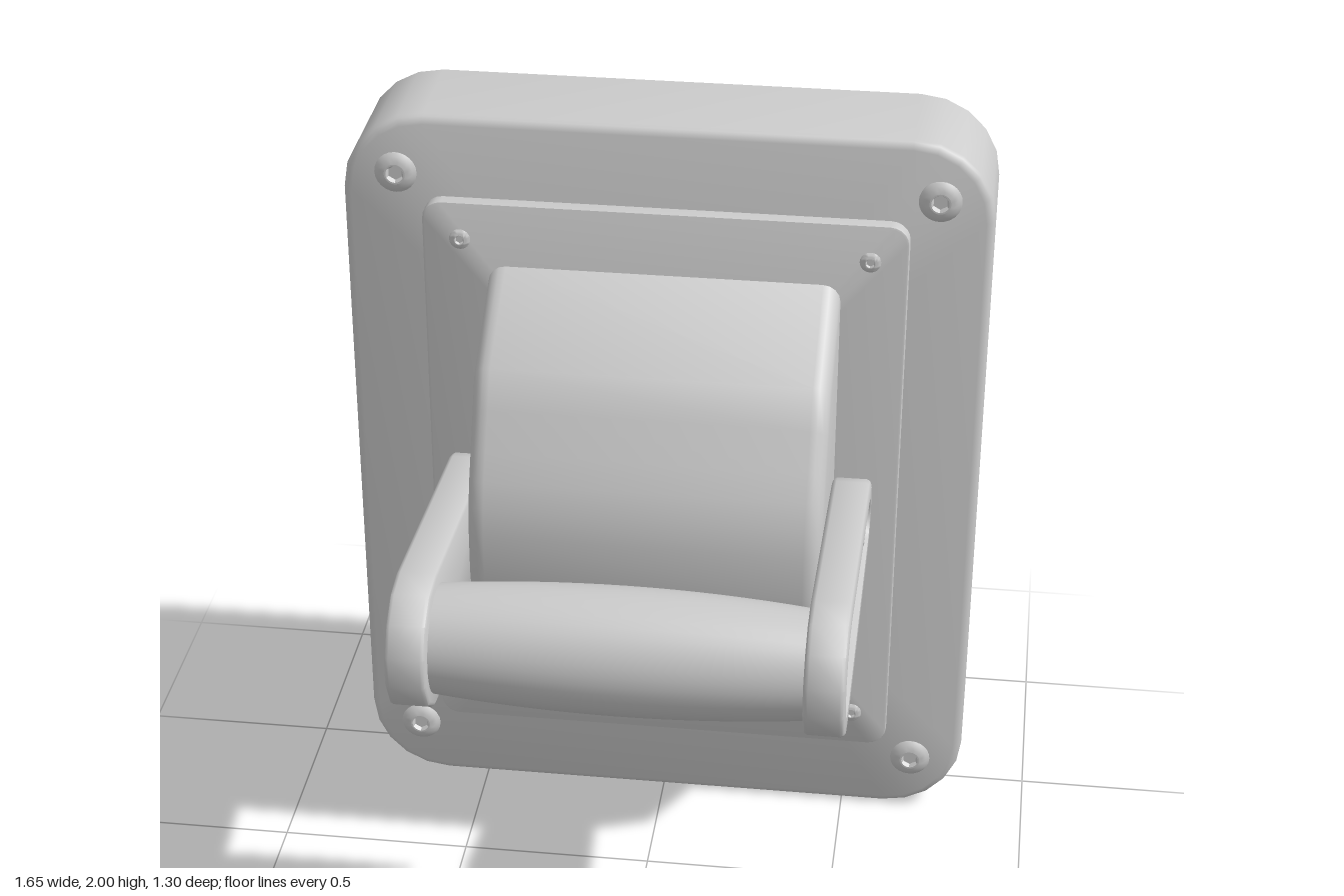
import * as THREE from 'three';
import { toCreasedNormals } from 'three/addons/utils/BufferGeometryUtils.js';

const MID = 1.003; // height of the model's horizontal mid line

const grey = new THREE.MeshStandardMaterial({ color: 0xcccccc });
const greyDouble = new THREE.MeshStandardMaterial({ color: 0xcccccc, side: THREE.DoubleSide });

function add(parent, name, geometry, material = grey) {
  const mesh = new THREE.Mesh(geometry, material);
  mesh.name = name;
  parent.add(mesh);
  return mesh;
}

// Skins rings { w, pts } along +z; pts are counter-clockwise [u, v] pairs.
function loft(rings, { start = true, end = true, crease = 0.7 } = {}) {
  const pos = [];
  const put = (ring, i) => {
    const p = ring.pts[i % ring.pts.length];
    pos.push(p[0], p[1], ring.w);
  };
  for (let r = 0; r < rings.length - 1; r++) {
    const a = rings[r], b = rings[r + 1];
    for (let i = 0; i < a.pts.length; i++) {
      put(a, i); put(a, i + 1); put(b, i + 1);
      put(a, i); put(b, i + 1); put(b, i);
    }
  }
  const cap = (ring, flip) => {
    const n = ring.pts.length;
    const cu = ring.pts.reduce((s, p) => s + p[0], 0) / n;
    const cv = ring.pts.reduce((s, p) => s + p[1], 0) / n;
    for (let i = 0; i < n; i++) {
      pos.push(cu, cv, ring.w);
      put(ring, flip ? i + 1 : i);
      put(ring, flip ? i : i + 1);
    }
  };
  if (start) cap(rings[0], true);
  if (end) cap(rings[rings.length - 1], false);
  const g = new THREE.BufferGeometry();
  g.setAttribute('position', new THREE.Float32BufferAttribute(pos, 3));
  return toCreasedNormals(g, crease);
}

// Rounded rectangle with half sizes a, b and corner radius r, shrunk by d
function roundedRect(a, b, r, d, segs = 5) {
  const pts = [];
  [[1, 1], [-1, 1], [-1, -1], [1, -1]].forEach(([sx, sy], q) => {
    for (let i = 0; i <= segs; i++) {
      const t = (q + i / segs) * Math.PI / 2;
      pts.push([sx * (a - r) + (r - d) * Math.cos(t), sy * (b - r) + (r - d) * Math.sin(t)]);
    }
  });
  return pts;
}

// Tapered capsule between two circles, shrunk by d
function taperedCapsule(uL, rL, uR, rR, d, segs = 7) {
  const alpha = Math.PI / 2 + Math.asin((rR - rL) / (uR - uL));
  const pts = [];
  for (let i = 0; i <= segs; i++) {
    const t = -alpha + 2 * alpha * i / segs;
    pts.push([uR + (rR - d) * Math.cos(t), (rR - d) * Math.sin(t)]);
  }
  for (let i = 0; i <= segs; i++) {
    const t = alpha + (2 * Math.PI - 2 * alpha) * i / segs;
    pts.push([uL + (rL - d) * Math.cos(t), (rL - d) * Math.sin(t)]);
  }
  return pts;
}

// Button-head screw with a hexagonal socket, pointing along +z
function screw(name, r, h) {
  const group = new THREE.Group();
  group.name = name;
  const lathe = (pts, segs) => toCreasedNormals(
    new THREE.LatheGeometry(pts.map(p => new THREE.Vector2(p[0] * r, p[1] * h)), segs).rotateX(Math.PI / 2), 0.6);
  add(group, name + 'Head', lathe([[0, -0.2], [1, -0.2], [1, 0.15], [0.85, 0.6], [0.65, 0.9], [0.5, 1]], 24));
  add(group, name + 'Rim', lathe([[0.5, 1], [0.42, 1]], 24));
  add(group, name + 'Socket', lathe([[0.48, 1], [0.36, 0.3], [0, 0.3]], 6));
  return group;
}

// Side arm with a recessed outer face; s = +1 for left, -1 for right
function arm(s) {
  const group = new THREE.Group();
  group.name = s > 0 ? 'leftArm' : 'rightArm';
  const outline = d => s > 0
    ? taperedCapsule(-0.48, 0.173, 0.2, 0.107, d)
    : taperedCapsule(-0.2, 0.107, 0.48, 0.173, d);
  const section = [[0.45, 0.012], [0.454, 0.004], [0.462, 0], [0.538, 0], [0.546, 0.004],
    [0.55, 0.012], [0.55, 0.05], [0.525, 0.056], [0.52, 0.07]];
  add(group, 'armBody', loft(section.map(([w, d]) => ({ w, pts: outline(d) }))));
  // Pivot pin in the recess
  const pin = [[0.045, 0.515], [0.045, 0.535], [0.038, 0.543], [0.03, 0.543], [0.03, 0.538], [0, 0.538]];
  const pinGeo = new THREE.LatheGeometry(pin.map(p => new THREE.Vector2(...p)), 20).rotateX(Math.PI / 2);
  add(group, 'pivotPin', toCreasedNormals(pinGeo, 0.6)).position.x = s * 0.15;
  group.rotation.y = s * Math.PI / 2;
  group.position.y = MID;
  return group;
}

// Bulging cover: side profile in (-z, y), with its side edges rounded off
function coverGeometry() {
  const half = [[0.32, 0.615], [0.06, 0.456], [0.01, 0.36], [-0.037, 0.268], [-0.07, 0.2], [-0.092, 0.135], [-0.104, 0.06]];
  const profile = [...half, ...half.slice().reverse().map(([u, v]) => [u, -v])];
  const inset = d => profile.map(([u, v]) => {
    const k = 1 - d / Math.hypot(u - 0.32, v);
    return [0.32 + (u - 0.32) * k, v * k];
  });
  const r = 0.045, n = 4, rings = [];
  for (let i = 0; i <= n; i++) {
    const t = i / n * Math.PI / 2;
    rings.push({ w: 0.449 - r + r * Math.cos(t), pts: inset(r * (1 - Math.sin(t))) });
  }
  const mirrored = rings.map(q => ({ w: -q.w, pts: q.pts }));
  return loft([...mirrored, ...rings.reverse()]).rotateY(Math.PI / 2);
}

export function createModel() {
  const model = new THREE.Group();
  model.name = 'wallHandle';

  // Housing: thin shell, open at the back
  const shell = [[-0.65, 0], [-0.372, 0], [-0.361, 0.004], [-0.354, 0.011], [-0.35, 0.022]];
  add(model, 'housing', loft(shell.map(([w, d]) => ({ w, pts: roundedRect(0.823, 1, 0.21, d) })),
    { start: false }), greyDouble).position.y = 1;

  // Raised front plate
  const plate = [[-0.353, 0], [-0.322, 0], [-0.317, 0.002], [-0.315, 0.007]];
  add(model, 'frontPlate', loft(plate.map(([w, d]) => ({ w, pts: roundedRect(0.616, 0.782, 0.05, d) }))))
    .position.y = MID;

  add(model, 'cover', coverGeometry()).position.y = MID;

  // Screws at the corners of housing and plate
  for (const sx of [-1, 1]) for (const sy of [-1, 1]) {
    const big = screw('housingScrew', 0.054, 0.017);
    big.position.set(sx * 0.685, MID + sy * 0.842, -0.35);
    const small = screw('plateScrew', 0.027, 0.009);
    small.position.set(sx * 0.52, MID + sy * 0.682, -0.315);
    model.add(big, small);
  }

  model.add(arm(1), arm(-1));

  // Barrel-shaped grip between the arms
  const grip = [];
  for (let i = 0; i <= 16; i++) {
    const t = i / 8 - 1;
    grip.push(new THREE.Vector2(0.158 - 0.023 * t * t, t * 0.455));
  }
  add(model, 'grip', new THREE.LatheGeometry(grip, 40).rotateZ(Math.PI / 2)).position.set(0, MID, 0.48);

  return model;
}
